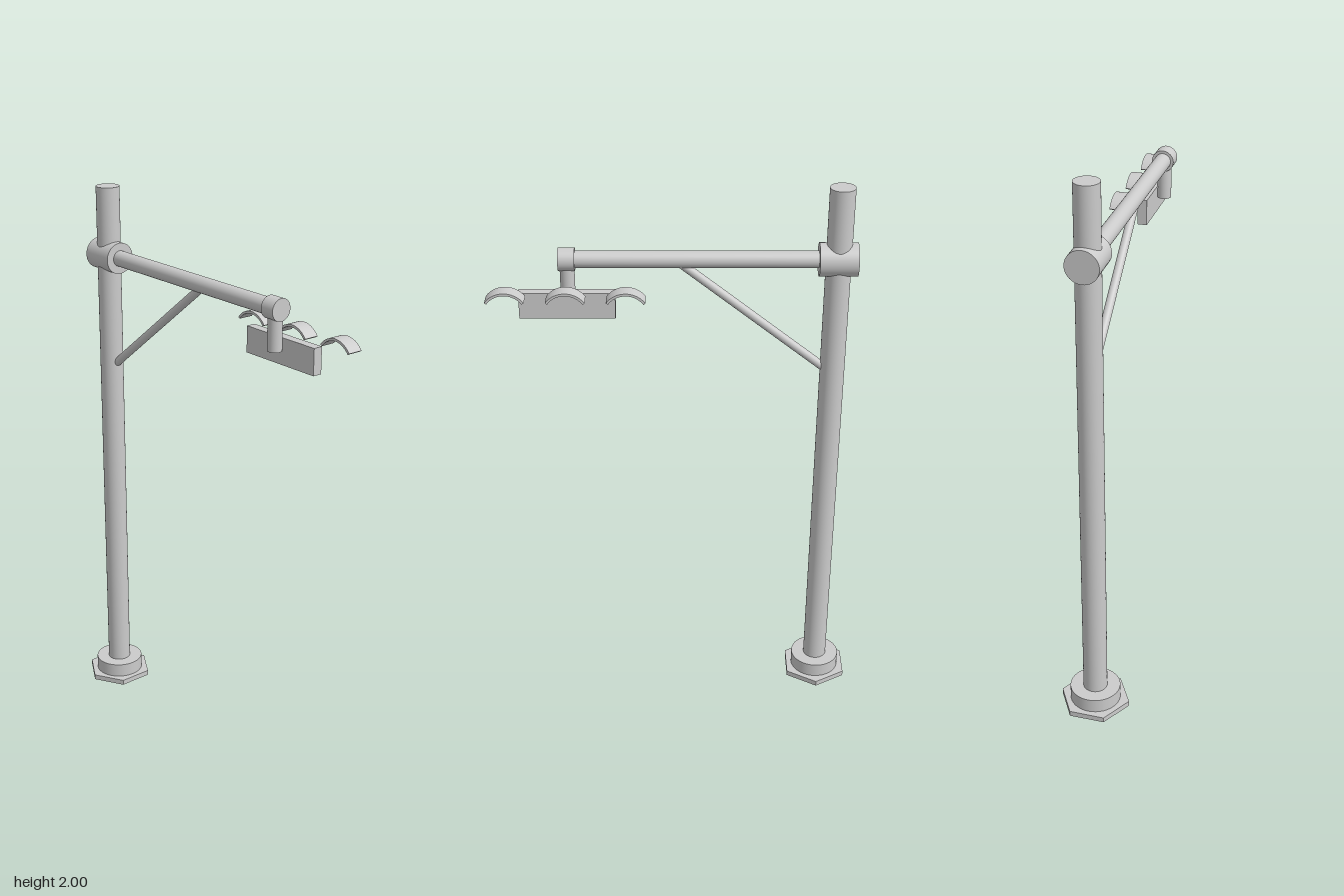
import * as THREE from 'three';

const POLE_X = -0.534, ARM_Y = 1.746;

export function createModel() {
  const group = new THREE.Group();
  const smooth = new THREE.MeshStandardMaterial({ color: 0xcccccc });
  const flat = new THREE.MeshStandardMaterial({ color: 0xcccccc, flatShading: true });

  const add = (name, geometry, material = smooth) => {
    const mesh = new THREE.Mesh(geometry, material);
    mesh.name = name;
    group.add(mesh);
    return mesh;
  };

  // Cylinder running between two points
  const rod = (name, from, to, radius, sides = 40, material = smooth) => {
    const a = new THREE.Vector3(...from), b = new THREE.Vector3(...to);
    const mesh = add(name, new THREE.CylinderGeometry(radius, radius, a.distanceTo(b), sides), material);
    mesh.position.copy(a).add(b).multiplyScalar(0.5);
    mesh.quaternion.setFromUnitVectors(new THREE.Vector3(0, 1, 0), b.sub(a).normalize());
    return mesh;
  };

  // Pole and foot
  rod('basePlate', [POLE_X, 0, 0], [POLE_X, 0.02, 0], 0.126, 6, flat);
  rod('baseCollar', [POLE_X, 0.02, 0], [POLE_X, 0.072, 0], 0.09);
  rod('pole', [POLE_X, 0.02, 0], [POLE_X, 2, 0], 0.043);

  // Horizontal arm with its clamp, end cap and diagonal brace
  rod('armClamp', [-0.598, ARM_Y, 0], [-0.468, ARM_Y, 0], 0.057);
  rod('arm', [-0.5, ARM_Y, 0], [0.38, ARM_Y, 0], 0.029);
  rod('armEndCap', [0.347, ARM_Y, 0], [0.403, ARM_Y, 0], 0.039);
  rod('brace', [-0.5, 1.343, 0], [-0.01, 1.728, 0], 0.015, 24);

  // Hanger and signal board
  rod('hanger', [0.374, 1.603, 0], [0.374, ARM_Y, 0], 0.025);
  add('signalBoard', new THREE.BoxGeometry(0.325, 0.093, 0.034)).position.set(0.375, 1.6, -0.038);

  // Curved hoods floating behind the board
  const outer = 0.08, inner = 0.0715, half = THREE.MathUtils.degToRad(55);
  const start = Math.PI / 2 - half, end = Math.PI / 2 + half;
  const profile = new THREE.Shape();
  profile.absarc(0, 0, outer, start, end, false);
  profile.absarc(0, 0, inner, end, start, true);
  const hood = new THREE.ExtrudeGeometry(profile, { depth: 0.055, bevelEnabled: false, curveSegments: 20 });
  for (const x of [0.175, 0.376, 0.577]) {
    add('hood', hood).position.set(x, 1.598, -0.127);
  }

  return group;
}
